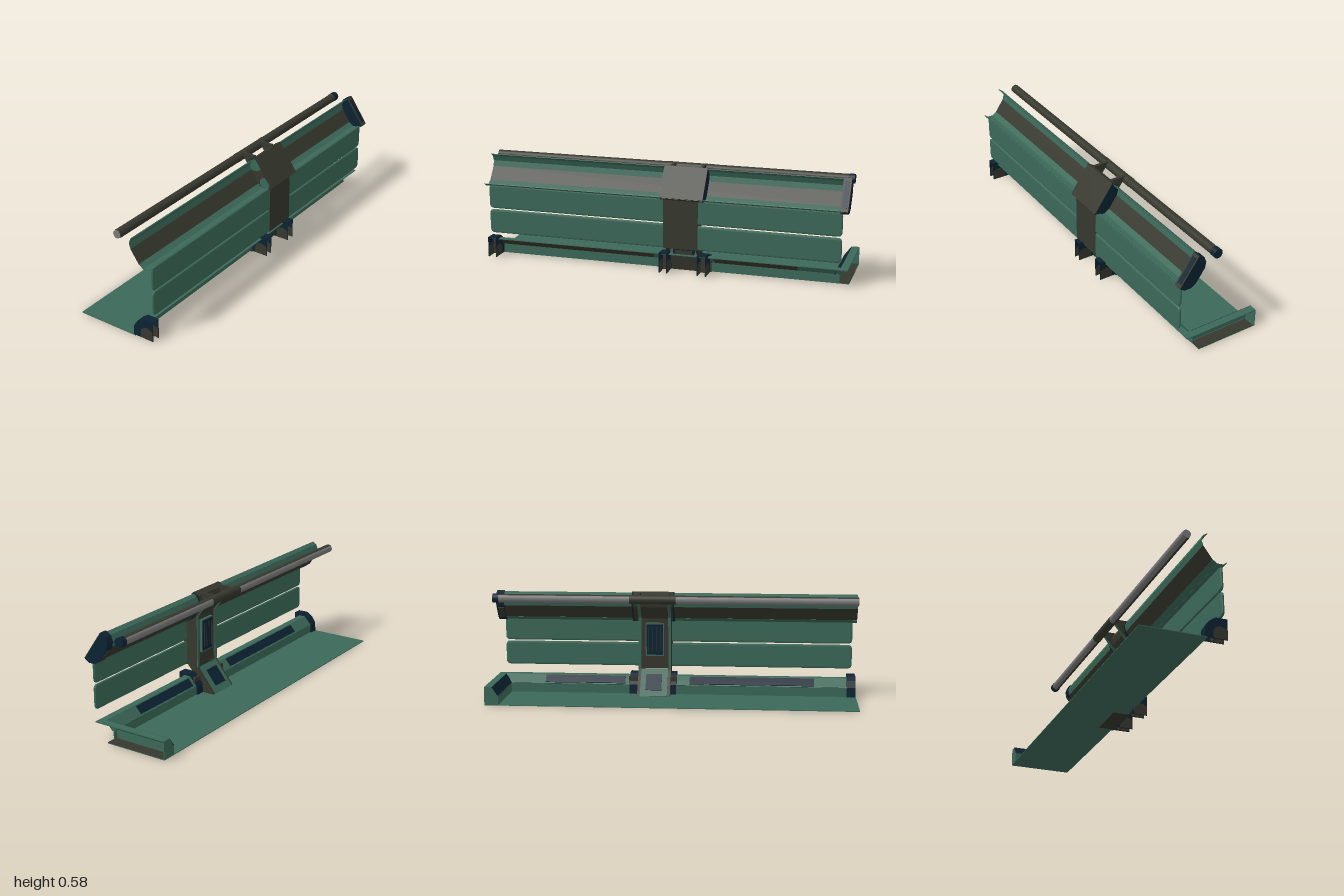
import * as THREE from 'three';

const colour = (name, hex) => {
  const m = new THREE.MeshStandardMaterial({ color: hex });
  m.name = name;
  return m;
};

export function createModel() {
  const root = new THREE.Group();
  root.name = 'railing';
  const green = colour('green', 0x3b6858);
  const brown = colour('dark brown', 0x36372d);
  const navy = colour('navy', 0x0c2232);
  const grey = colour('grey', 0x7a7a7a);

  const add = (name, geo, mat, x = 0, y = 0, z = 0) => {
    const m = new THREE.Mesh(geo, mat);
    m.name = name;
    m.position.set(x, y, z);
    root.add(m);
    return m;
  };
  const box = (name, mat, x0, x1, y0, y1, z0, z1) =>
    add(name, new THREE.BoxGeometry(x1 - x0, y1 - y0, z1 - z0), mat,
      (x0 + x1) / 2, (y0 + y1) / 2, (z0 + z1) / 2);
  // Cross-section in x, y pushed along z
  const prism = (name, mat, pts, z0, z1) => {
    const shape = new THREE.Shape(pts.map(p => new THREE.Vector2(p[0], p[1])));
    return add(name, new THREE.ExtrudeGeometry(shape, { depth: z1 - z0, bevelEnabled: false }), mat, 0, 0, z0);
  };
  // Flat sheet along z whose section is the line p-q
  const slab = (name, mat, p, q, z0, z1, t = 0.006) => {
    const dx = q[0] - p[0], dy = q[1] - p[1];
    const m = add(name, new THREE.BoxGeometry(Math.hypot(dx, dy), t, z1 - z0), mat,
      (p[0] + q[0]) / 2, (p[1] + q[1]) / 2, (z0 + z1) / 2);
    m.rotation.z = Math.atan2(dy, dx);
    return m;
  };
  const MID = -0.115; // centre of the post

  // Floor, ending at the foot of the baseboard
  box('floor', green, -0.24, 0.11, 0, 0.004, -1, 1);
  box('curbChannelFloor', brown, -0.23, 0.11, 0.004, 0.006, -0.999, -0.935);

  // Curb across the end, open at the back and closed at its outer side
  box('curbWall', green, -0.24, 0.11, 0.004, 0.053, -0.93, -0.924);
  box('curbTop', green, -0.24, 0.185, 0.095, 0.1, -1, -0.958);
  box('curbTrim', brown, -0.24, 0.11, 0.052, 0.056, -0.928, -0.922);
  [[navy, 0], [green, -0.004]].forEach(([mat, shift]) => {
    const slope = box('curbSlope', mat, -0.24, 0.13, -0.002, 0.002, -0.029, 0.029);
    slope.position.set(-0.055, 0.0765 + shift * 0.6, -0.9425 + shift * 0.8);
    slope.rotation.x = Math.atan2(0.045, 0.034);
  });
  const end = prism('curbEnd', green,
    [[-0.925, 0], [-0.925, 0.053], [-0.96, 0.1], [-1, 0.1], [-1, 0]], 0, 0.004);
  end.rotation.y = -Math.PI / 2;
  end.position.x = -0.236;

  // Long baseboard channel, open to the outside
  slab('baseWall', green, [0.11, 0.002], [0.11, 0.053], -0.95, 0.99);
  slab('baseSlope', green, [0.11, 0.053], [0.152, 0.098], -0.96, 0.99);
  slab('baseTop', green, [0.15, 0.098], [0.185, 0.098], -1, 0.99, 0.004);
  for (const [z0, z1] of [[-0.73, -0.28], [0.08, 0.77]])
    slab('baseInset', navy, [0.111, 0.06], [0.144, 0.096], z0, z1, 0.007);
  for (const [z0, z1] of [[-0.73, -0.28], [0.06, 0.985]])
    slab('baseBacking', brown, [0.119, 0.056], [0.155, 0.094], z0, z1, 0.006);

  // Hollow brackets: one at the end, two at the post
  const bracket = [[0.1, 0.003], [0.218, 0.003], [0.218, 0.112], [0.155, 0.112], [0.125, 0.09], [0.103, 0.055]];
  const arch = [[0.143, 0.004], [0.217, 0.004], [0.217, 0.056]];
  for (let i = 0; i <= 6; i++) {
    const a = Math.PI * (0.3 + 0.7 * i / 6);
    arch.push([0.18 + 0.037 * Math.cos(a), 0.036 + 0.034 * Math.sin(a)]);
  }
  for (const [z0, z1] of [[0.95, 0.998], [-0.04, 0.005], [-0.255, -0.205]]) {
    for (const z of [z0, z1 - 0.004]) {
      prism('bracketPlate', navy, bracket, z, z + 0.004);
      prism('bracketArch', brown, arch, z - 0.001, z + 0.005);
    }
    for (const i of [2, 3, 4])
      slab('bracketShell', navy, bracket[i], bracket[i + 1], z0, z1, 0.004);
    slab('bracketShell', navy, bracket[5], bracket[0], z0, z1, 0.004);
    box('bracketBack', brown, 0.15, 0.156, 0.004, 0.1, z0 + 0.004, z1 - 0.004);
  }

  // Foot of the post
  prism('foot', brown, [[0.025, 0], [0.125, 0], [0.15, 0.1], [0.135, 0.14]], -0.205, -0.025);
  box('footPlate', brown, 0.03, 0.112, -0.002, 0.002, -0.24, -0.01);
  slab('footFace', green, [0.026, 0.004], [0.131, 0.138], -0.19, -0.04, 0.008);
  slab('footInset', navy, [0.047, 0.036], [0.108, 0.114], -0.16, -0.072, 0.013);
  box('footBacking', brown, 0.113, 0.124, 0, 0.1, -0.26, 0.01);
  box('footLatch', navy, 0.14, 0.165, 0.1, 0.13, -0.175, -0.06);
  box('footLatchFace', brown, 0.165, 0.168, 0.1, 0.122, -0.165, -0.07);

  // Post: two side plates reaching up to the handrail
  const side = [[0.025, 0], [0.11, 0], [0.165, 0.11], [0.205, 0.152], [0.205, 0.42], [0.165, 0.44],
    [0.11, 0.57], [0.02, 0.57], [0.045, 0.545], [0.135, 0.43], [0.135, 0.14]];
  for (const s of [-1, 1]) {
    const z = MID + s * 0.083;
    prism('postSide', brown, side, z - 0.008, z + 0.008);
    slab('postEdge', green, [0.133, 0.14], [0.133, 0.43], z - 0.008, z + 0.008, 0.004);
    slab('armEdge', green, [0.133, 0.43], [0.05, 0.54], z - 0.008, z + 0.008, 0.004);
  }
  box('postCover', brown, 0.203, 0.219, 0.145, 0.43, -0.21, -0.02);
  box('postPanel', brown, 0.145, 0.155, 0.14, 0.44, -0.19, -0.04);
  box('ventFrame', green, 0.13, 0.145, 0.215, 0.4, -0.166, -0.064);
  box('vent', navy, 0.127, 0.131, 0.222, 0.393, -0.16, -0.07);
  for (let i = 0; i < 4; i++) {
    const z = -0.148 + i * 0.022;
    box('ventBar', brown, 0.125, 0.128, 0.24, 0.378, z - 0.002, z + 0.002);
  }

  // Two long slats with rounded ends and rolled edges
  for (const y of [0.145, 0.285]) {
    const z0 = -0.97, z1 = 0.98, h = 0.133, r = 0.025;
    const s = new THREE.Shape();
    s.moveTo(-z1 + r, 0);
    s.lineTo(-z0 - r, 0);
    s.quadraticCurveTo(-z0, 0, -z0, r);
    s.lineTo(-z0, h - r);
    s.quadraticCurveTo(-z0, h, -z0 - r, h);
    s.lineTo(-z1 + r, h);
    s.quadraticCurveTo(-z1, h, -z1, h - r);
    s.lineTo(-z1, r);
    s.quadraticCurveTo(-z1, 0, -z1 + r, 0);
    const geo = new THREE.ExtrudeGeometry(s, {
      depth: 0.004, bevelThickness: 0.006, bevelSize: 0.01, bevelOffset: -0.01, bevelSegments: 2, curveSegments: 4,
    });
    geo.rotateY(Math.PI / 2);
    add('slat', geo, green, 0.208, y, 0);
  }

  // Top rail: tilted trough; u runs down the opening, n points out of it
  const at = ([u, n]) => [0.13 + 0.574 * u + 0.82 * n, 0.575 - 0.82 * u + 0.574 * n];
  const trough = [[0.004, -0.004], [0.004, -0.03], [0.02, -0.056], [0.05, -0.067], [0.133, -0.067],
    [0.163, -0.056], [0.18, -0.03], [0.18, -0.004]];
  for (let i = 0; i < trough.length - 1; i++)
    slab('topRail', i === 3 ? brown : green, at(trough[i]), at(trough[i + 1]), -0.97, 1, 0.003);

  // Collar at the post and cap at the end
  const shell = [[0, 0], [-0.002, -0.032], [0.017, -0.06], [0.048, -0.074], [0.135, -0.074],
    [0.166, -0.06], [0.185, -0.032], [0.187, 0]].map(at);
  const collar = (name, mat, z0, z1) => {
    prism(name, mat, shell, z0 + 0.008, z1 - 0.008);
    for (const z of [z0, z1 - 0.008]) prism(name + 'Rim', navy, shell, z, z + 0.008);
    slab(name + 'Face', brown, at([0.002, 0.001]), at([0.185, 0.001]), z0, z1, 0.006);
  };
  collar('collar', brown, -0.24, -0.005);
  collar('cap', navy, -0.998, -0.955);
  slab('capInset', navy, at([0.02, 0.003]), at([0.167, 0.003]), -0.99, -0.964, 0.006);
  slab('capUnder', brown, at([0.06, -0.074]), at([0.135, -0.074]), -0.99, -0.957, 0.004);

  // Green and brown facing on the front of the collar, seen down the trough
  const upper = [[0.008, -0.004], [0.008, -0.03], [0.022, -0.053], [0.045, -0.062],
    [0.058, -0.05], [0.07, -0.025], [0.072, -0.004]];
  const lower = [[0.124, -0.004], [0.115, -0.02], [0.12, -0.042], [0.138, -0.054],
    [0.16, -0.052], [0.175, -0.03], [0.175, -0.004]];
  const band = [[0.068, -0.004], [0.068, -0.03], [0.04, -0.064], [0.14, -0.064], [0.14, -0.004]];
  prism('collarBand', brown, band.map(at), -0.005, -0.003);
  for (const lobe of [upper, lower]) prism('collarLobe', green, lobe.map(at), -0.005, -0.001);

  // Round handrail: dark outer part, grey inner part
  const tube = (name, mat, r, z0, z1, start = 0, sweep = Math.PI * 2, open = false) => {
    const g = new THREE.CylinderGeometry(r, r, z1 - z0, 20, 1, open, start, sweep);
    g.rotateX(Math.PI / 2);
    return add(name, g, mat, 0.02, 0.546, (z0 + z1) / 2);
  };
  tube('handrailCore', grey, 0.0215, -0.99, 0.999);
  // The angle runs from straight down towards +x and up
  tube('handrailCover', brown, 0.0235, -0.99, 0.998, 0, Math.PI * 1.22, true);
  tube('handrailInner', grey, 0.0235, -0.99, 0.998, Math.PI * 1.22, Math.PI * 0.78, true);
  tube('handrailClamp', brown, 0.0245, -0.24, 0.01);
  tube('handrailKnob', navy, 0.0255, -0.998, -0.965);
  for (const z of [-0.23, 0]) tube('clampRing', brown, 0.0255, z - 0.012, z + 0.012);

  return root;
}
